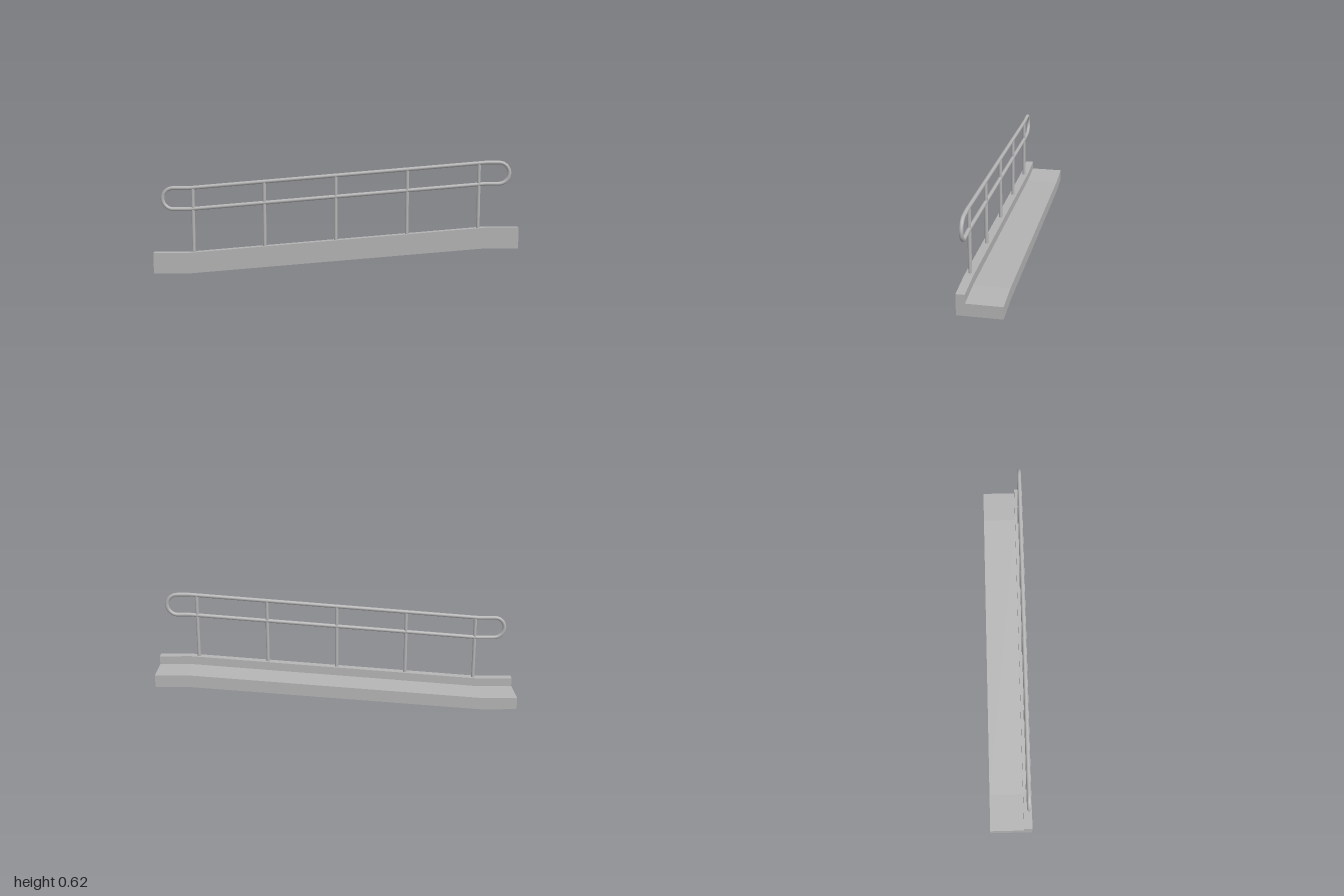
import * as THREE from 'three';

const RISE = 0.139;       // height gained along the ramp
const X0 = -0.8, X1 = 0.82; // where the slope starts and ends
const RAIL_Z = 0.0925;
const KERB_H = 0.115, DECK_H = 0.068;
const RAIL_R = 0.0105;

// height of the ramp's underside at x
const slopeY = (x) => RISE * THREE.MathUtils.clamp((x - X0) / (X1 - X0), 0, 1);

// a slab that follows the ramp, extruded from z0 to z1
function rampSlab(name, height, z0, z1, material) {
  const xs = [-1, X0, X1, 1];
  const lower = xs.map((x) => new THREE.Vector2(x, slopeY(x)));
  const upper = xs.map((x) => new THREE.Vector2(x, slopeY(x) + height)).reverse();
  const geometry = new THREE.ExtrudeGeometry(new THREE.Shape([...lower, ...upper]), {
    depth: z1 - z0, bevelEnabled: false,
  });
  geometry.translate(0, 0, z0);
  const mesh = new THREE.Mesh(geometry, material);
  mesh.name = name;
  return mesh;
}

// closed loop: two parallel rails joined by a half circle at each end
function railPath(topOffset, lowOffset, endX) {
  const r = (topOffset - lowOffset) / 2, mid = (topOffset + lowOffset) / 2;
  const points = [];
  const add = (x, y) => points.push(new THREE.Vector3(x, y, RAIL_Z));
  const arc = (cx, from) => {
    for (let i = 0; i <= 24; i++) {
      const a = from - (Math.PI * i) / 24;
      add(cx + r * Math.cos(a), slopeY(cx) + mid + r * Math.sin(a));
    }
  };
  for (const x of [X0, X1]) add(x, slopeY(x) + topOffset);
  arc(endX, Math.PI / 2);
  for (const x of [X1, X0]) add(x, slopeY(x) + lowOffset);
  arc(-endX, -Math.PI / 2);

  const path = new THREE.CurvePath();
  points.forEach((p, i) => path.add(new THREE.LineCurve3(p, points[(i + 1) % points.length])));
  path.arcLengthDivisions = 800;
  return path;
}

export function createModel() {
  const group = new THREE.Group();
  group.name = 'ramp';
  const grey = new THREE.MeshStandardMaterial({ color: 0xb4b4b5 });
  grey.name = 'lightGrey';

  // walking surface and the raised kerb along its front edge
  group.add(rampSlab('deck', DECK_H, -0.115, 0.07, grey));
  group.add(rampSlab('kerb', KERB_H, 0.07, 0.115, grey));

  // handrail loop
  const topOffset = 0.47, lowOffset = 0.354;
  const rail = new THREE.Mesh(
    new THREE.TubeGeometry(railPath(topOffset, lowOffset, 0.888), 400, RAIL_R, 16, true), grey);
  rail.name = 'handrail';
  group.add(rail);

  // upright posts from the kerb to the top rail
  const posts = new THREE.Group();
  posts.name = 'posts';
  for (let i = -2; i <= 2; i++) {
    const x = i * 0.39;
    const bottom = slopeY(x) + KERB_H - 0.005, top = slopeY(x) + topOffset;
    const post = new THREE.Mesh(
      new THREE.CylinderGeometry(0.0095, 0.0095, top - bottom, 16), grey);
    post.position.set(x, (top + bottom) / 2, RAIL_Z);
    post.name = 'post';
    posts.add(post);
  }
  group.add(posts);
  return group;
}
